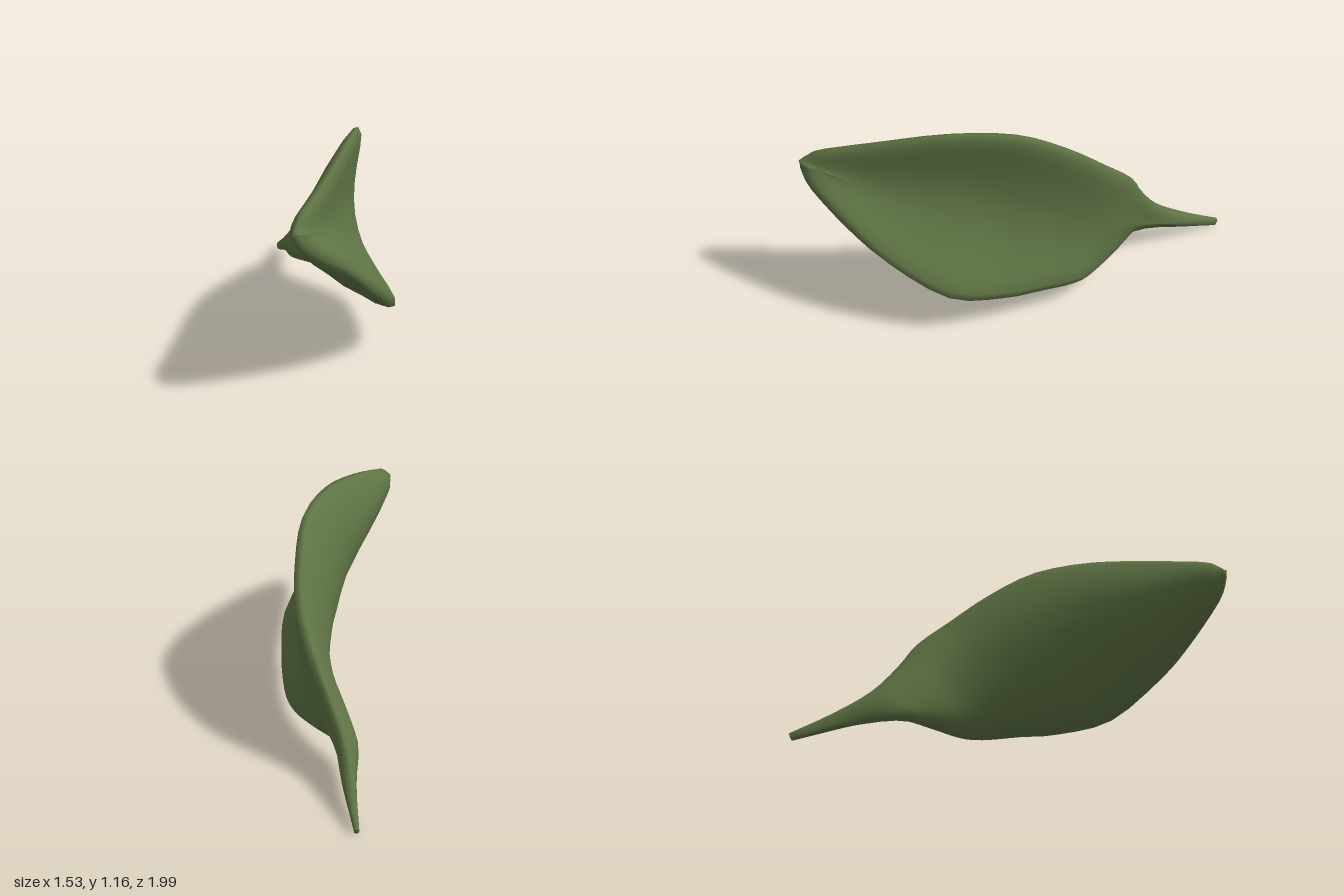
import * as THREE from 'three';

// Stations from stalk to tip: upper edge, midrib, lower edge, rim half thickness, fullness of the inner side
const STATIONS = [
  [[-0.765, 0.04, -0.99], [-0.76, 0.02, -0.985], [-0.75, 0.0, -0.98], 0.013, 0],
  [[-0.58, 0.17, -0.83], [-0.57, 0.13, -0.8], [-0.54, 0.09, -0.78], 0.028, 0.02],
  [[-0.42, 0.31, -0.71], [-0.42, 0.22, -0.615], [-0.34, 0.15, -0.6], 0.034, 0.06],
  [[-0.27, 0.5, -0.66], [-0.26, 0.32, -0.53], [-0.12, 0.15, -0.55], 0.034, 0.085],
  [[-0.16, 0.67, -0.63], [-0.115, 0.4, -0.455], [0.06, 0.13, -0.49], 0.033, 0.1],
  [[0.01, 0.85, -0.53], [0.0, 0.48, -0.345], [0.19, 0.14, -0.43], 0.033, 0.105],
  [[0.16, 1.02, -0.36], [0.11, 0.58, -0.18], [0.35, 0.17, -0.29], 0.033, 0.105],
  [[0.31, 1.15, -0.13], [0.21, 0.64, 0.0], [0.5, 0.19, -0.13], 0.034, 0.105],
  [[0.44, 1.155, 0.2], [0.335, 0.69, 0.24], [0.69, 0.27, 0.11], 0.034, 0.105],
  [[0.54, 1.08, 0.55], [0.455, 0.74, 0.55], [0.755, 0.47, 0.43], 0.034, 0.095],
  [[0.6, 0.99, 0.85], [0.56, 0.82, 0.84], [0.74, 0.65, 0.67], 0.034, 0.07],
  [[0.61, 0.94, 0.94], [0.605, 0.865, 0.935], [0.68, 0.78, 0.89], 0.028, 0.035],
  [[0.61, 0.91, 0.99], [0.618, 0.89, 0.988], [0.63, 0.87, 0.98], 0.016, 0],
];
const ROWS = 36, RING = 24;

function bladeGeometry() {
  const rails = [0, 1, 2].map((k) =>
    new THREE.CatmullRomCurve3(STATIONS.map((s) => new THREE.Vector3(...s[k])), false, 'catmullrom', 0.5));

  // Outer side's middle surface: a parabola across the three rails
  const mid = (u, v) => {
    const [t, m, b] = rails.map((r) => r.getPoint(THREE.MathUtils.clamp(u, 0, 1)));
    return t.multiplyScalar((1 - v) * (1 - 2 * v))
      .addScaledVector(m, 4 * v * (1 - v))
      .addScaledVector(b, v * (2 * v - 1));
  };
  const station = (u, k) => {
    const f = u * (STATIONS.length - 1), i = Math.min(Math.floor(f), STATIONS.length - 2);
    return THREE.MathUtils.lerp(STATIONS[i][k], STATIONS[i + 1][k], f - i);
  };

  // Closed rings: rounded rims, inner side filled towards flat, outer side fuller below the midrib
  const pos = [], index = [], e = 0.01;
  for (let i = 0; i <= ROWS; i++) {
    const u = i / ROWS;
    for (let j = 0; j < RING; j++) {
      const a = (j / RING) * Math.PI * 2, s = Math.sin(a), v = (1 - Math.cos(a)) / 2;
      const along = mid(u + e, v).sub(mid(u - e, v));
      const across = mid(u, v + e).sub(mid(u, v - e));
      const n = along.cross(across).normalize();
      const rim = station(u, 3) * Math.sign(s) * Math.sqrt(Math.abs(s));
      const shape = s > 0 ? Math.pow(s, 1.3) : -0.35 * Math.max(0, Math.sin(2 * a)) ** 2;
      const p = mid(u, v).addScaledVector(n, rim + station(u, 4) * shape);
      pos.push(p.x, p.y, p.z);
    }
  }
  for (let i = 0; i < ROWS; i++) {
    for (let j = 0; j < RING; j++) {
      const k = (j + 1) % RING;
      const a = i * RING + j, b = a + RING, c = i * RING + k, d = c + RING;
      index.push(a, b, c, b, d, c);
    }
  }
  // End caps
  for (const [u, row] of [[0, 0], [1, ROWS]]) {
    const centre = pos.length / 3, p = mid(u, 0.5);
    pos.push(p.x, p.y, p.z);
    for (let j = 0; j < RING; j++) {
      const a = row * RING + j, b = row * RING + (j + 1) % RING;
      index.push(centre, ...(u === 0 ? [a, b] : [b, a]));
    }
  }
  const geo = new THREE.BufferGeometry();
  geo.setAttribute('position', new THREE.Float32BufferAttribute(pos, 3));
  geo.setIndex(index);
  geo.computeVertexNormals();
  return geo;
}

export function createModel() {
  const group = new THREE.Group();
  group.name = 'leaf';
  const blade = new THREE.Mesh(bladeGeometry(),
    new THREE.MeshStandardMaterial({ color: 0x5e7344 }));
  blade.name = 'leafBlade';
  group.add(blade);
  return group;
}
